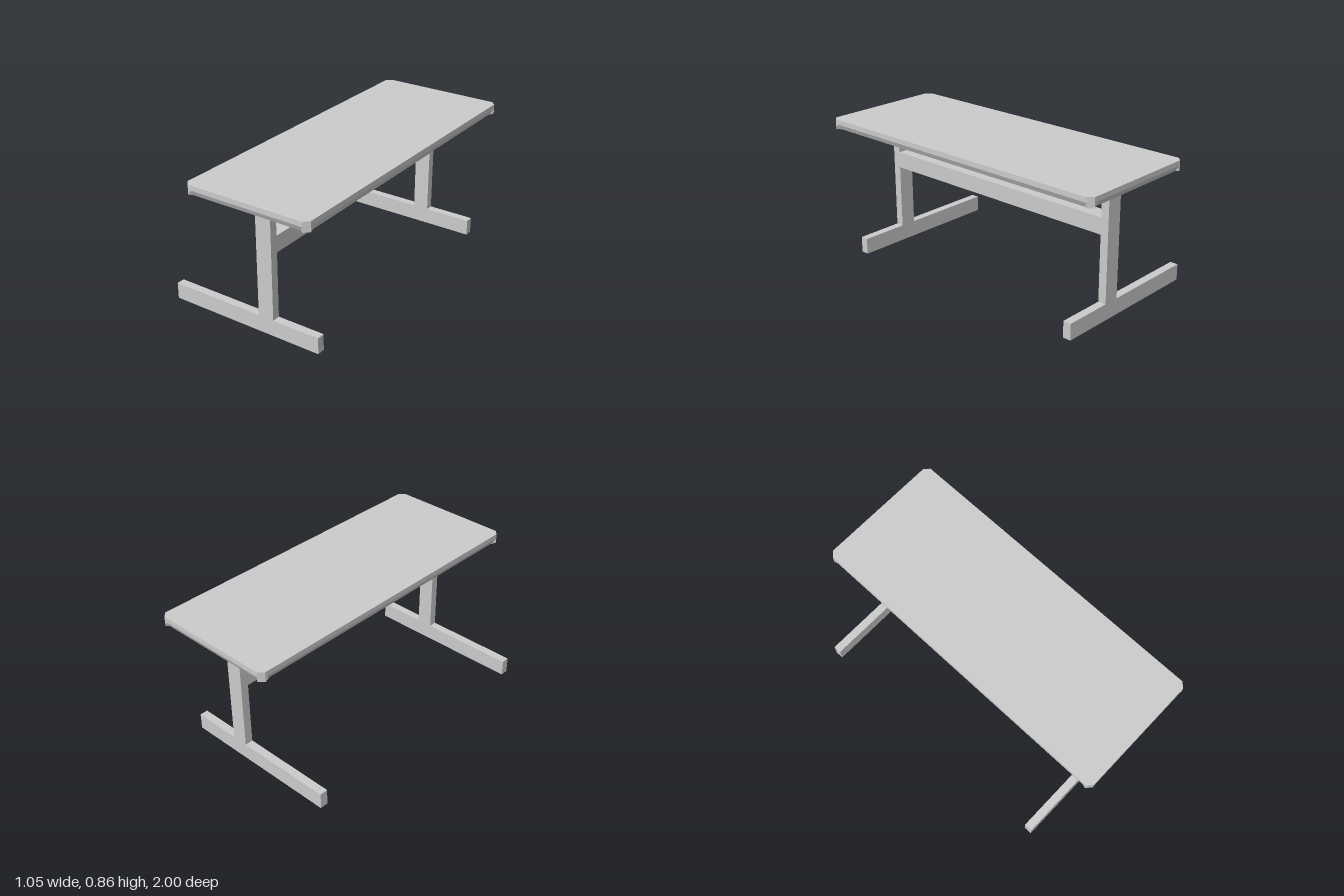
import * as THREE from 'three';

const material = new THREE.MeshStandardMaterial({ color: 0xcccccc, flatShading: true });

// box given by its lower and upper limits on each axis
function box(name, [x0, x1], [y0, y1], [z0, z1]) {
  const mesh = new THREE.Mesh(new THREE.BoxGeometry(x1 - x0, y1 - y0, z1 - z0), material);
  mesh.position.set((x0 + x1) / 2, (y0 + y1) / 2, (z0 + z1) / 2);
  mesh.name = name;
  return mesh;
}

// closed ring with clipped corners; the edges between corners can be drawn inwards
function ring(y, inset) {
  const cx = 0.125, hx = 0.4, hz = 1, cut = 0.03, post = 0.02;
  const quarter = [
    [hx - inset, hz - cut - post], [hx, hz - cut],
    [hx - cut, hz], [hx - cut - post, hz - inset],
  ];
  const points = [];
  for (const [sx, sz] of [[1, 1], [-1, 1], [-1, -1], [1, -1]]) {
    const corner = sx * sz > 0 ? quarter : [...quarter].reverse();
    for (const [x, z] of corner) points.push([cx + sx * x, y, sz * z]);
  }
  return points;
}

// slab with square upper edge, undercut lower edge and full-height corners
function tableTopGeometry() {
  const rings = [ring(0.8, 0.015), ring(0.83, 0), ring(0.86, 0)];
  const n = rings[0].length;
  const positions = rings.flat(2);
  const index = [];
  for (let r = 0; r < rings.length - 1; r++) {
    for (let i = 0; i < n; i++) {
      const a = r * n + i, b = r * n + (i + 1) % n;
      index.push(a, a + n, b, b, a + n, b + n);
    }
  }
  // caps
  const bottom = positions.length / 3, top = bottom + 1;
  positions.push(0.125, 0.8, 0, 0.125, 0.86, 0);
  for (let i = 0; i < n; i++) {
    const j = (i + 1) % n;
    index.push(bottom, i, j, top, 2 * n + j, 2 * n + i);
  }
  const geometry = new THREE.BufferGeometry();
  geometry.setAttribute('position', new THREE.Float32BufferAttribute(positions, 3));
  geometry.setIndex(index);
  const flat = geometry.toNonIndexed();
  flat.computeVertexNormals();
  return flat;
}

export function createModel() {
  const table = new THREE.Group();
  table.name = 'table';

  const top = new THREE.Mesh(tableTopGeometry(), material);
  top.name = 'tableTop';
  table.add(top);

  // a T-shaped leg at each end
  for (const [side, z] of [['front', [0.8, 0.85]], ['back', [-0.85, -0.8]]]) {
    const leg = new THREE.Group();
    leg.name = side + 'Leg';
    leg.add(
      box(side + 'Foot', [-0.525, 0.475], [0, 0.1], z),
      box(side + 'Post', [0.075, 0.175], [0.1, 0.8], z),
    );
    table.add(leg);
  }

  // beam joining the two posts
  table.add(box('crossBeam', [0.075, 0.175], [0.5, 0.6], [-0.8, 0.8]));
  return table;
}
